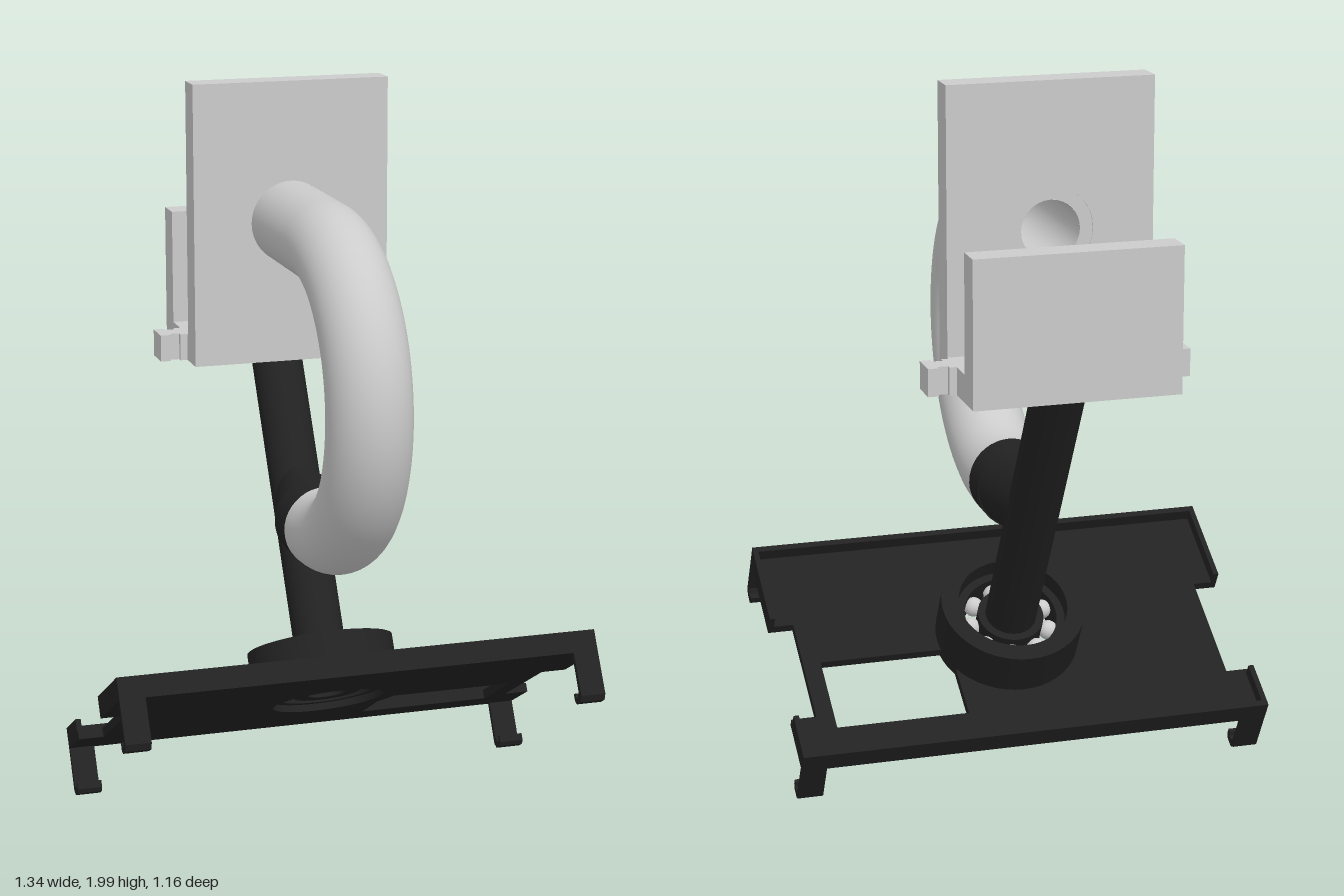
import * as THREE from 'three';
import { toCreasedNormals } from 'three/addons/utils/BufferGeometryUtils.js';

const grey = new THREE.MeshStandardMaterial({ color: 0xcccccc });
const greyThin = new THREE.MeshStandardMaterial({ color: 0xcccccc, side: THREE.DoubleSide });
const dark = new THREE.MeshStandardMaterial({ color: 0x222222 });

function add(parent, name, geometry, material, x = 0, y = 0, z = 0) {
  const mesh = new THREE.Mesh(geometry, material);
  mesh.name = name;
  mesh.position.set(x, y, z);
  parent.add(mesh);
  return mesh;
}

// box given by its limits on each axis
function block(parent, name, material, [x0, x1], [y0, y1], [z0, z1]) {
  return add(parent, name, new THREE.BoxGeometry(x1 - x0, y1 - y0, z1 - z0), material,
    (x0 + x1) / 2, (y0 + y1) / 2, (z0 + z1) / 2);
}

const shapeOf = (pts) => new THREE.Shape(pts.map(([x, y]) => new THREE.Vector2(x, y)));
const circle = (x, y, r) => new THREE.Path().absarc(x, y, r, 0, Math.PI * 2, true);
const extrude = (shape, depth) =>
  toCreasedNormals(new THREE.ExtrudeGeometry(shape, { depth, bevelEnabled: false, curveSegments: 32 }), 0.5);
const lathe = (pts) =>
  toCreasedNormals(new THREE.LatheGeometry(pts.map(([x, y]) => new THREE.Vector2(x, y)), 48), 0.5);
const ring = (r0, r1, y0, y1) => lathe([[r0, y1], [r0, y0], [r1, y0], [r1, y1], [r0, y1]]);

function createClamp() {
  const clamp = new THREE.Group();
  clamp.name = 'clamp';

  // tall front plate with the hole for the tube
  const plate = shapeOf([[-0.28, 1.21], [0.28, 1.21], [0.28, 2], [-0.28, 2]]);
  plate.holes.push(circle(0, 1.607, 0.115));
  add(clamp, 'frontPlate', extrude(plate, 0.08), grey, 0, 0, -0.33);

  // base with notched side ears and a screw hole
  const side = [[0.28, -0.33], [0.28, -0.34], [0.3, -0.34], [0.3, -0.355], [0.328, -0.355], [0.328, -0.34],
    [0.357, -0.34], [0.357, -0.423], [0.328, -0.423], [0.328, -0.409], [0.3, -0.409], [0.3, -0.423],
    [0.28, -0.423], [0.28, -0.5]];
  const base = shapeOf([...side, ...side.map(([x, z]) => [-x, z]).reverse()]);
  base.holes.push(circle(0, -0.42, 0.031));
  add(clamp, 'clampBase', extrude(base, 0.075).rotateX(Math.PI / 2), grey, 0, 1.285, 0);

  block(clamp, 'rearLip', grey, [-0.28, 0.28], [1.21, 1.605], [-0.58, -0.5]);
  return clamp;
}

function createArm() {
  const arm = new THREE.Group();
  arm.name = 'arm';

  // hollow U-shaped tube
  const path = new THREE.CurvePath();
  const v = (y, z) => new THREE.Vector3(0, y, z);
  const bend = new THREE.Curve();
  bend.getPoint = (t, target = new THREE.Vector3()) =>
    target.set(0, 1.208 + 0.399 * Math.cos(t * Math.PI), 0.063 + 0.399 * Math.sin(t * Math.PI));
  path.add(new THREE.LineCurve3(v(1.607, -0.328), v(1.607, 0.063)));
  path.add(bend);
  add(arm, 'bentTube', new THREE.TubeGeometry(path, 96, 0.115, 40), grey);
  add(arm, 'tubeBore', new THREE.TubeGeometry(path, 96, 0.08, 32), greyThin);
  add(arm, 'tubeEnd', new THREE.RingGeometry(0.08, 0.115, 40), greyThin, 0, 1.607, -0.328);

  // collar that joins the tube to the rod
  const collar = new THREE.CylinderGeometry(0.115, 0.115, 0.095, 40).rotateX(Math.PI / 2);
  add(arm, 'collar', collar, dark, 0, 0.809, 0.0175);
  const neck = new THREE.CylinderGeometry(0.113, 0.113, 0.16, 40).rotateX(Math.PI / 2);
  const p = neck.attributes.position;
  for (let i = 0; i < p.count; i++) if (p.getZ(i) < 0) p.setX(i, p.getX(i) * 0.6);
  neck.computeVertexNormals();
  add(arm, 'collarNeck', toCreasedNormals(neck, 0.6), dark, 0, 0.811, -0.11);
  return arm;
}

// tilted holder; local y is along the rod
function createHolder() {
  const holder = new THREE.Group();
  holder.name = 'holder';
  holder.position.set(0, 0.365, 0.07);
  holder.rotation.x = -Math.PI / 6;

  // rod, its top cut level with the underside of the clamp
  const rod = new THREE.LatheGeometry(
    [[0, 0.05], [0.052, 0.05], [0.052, -0.04], [0.072, -0.04], [0.072, 0.95], [0, 0.95]]
      .map(([x, y]) => new THREE.Vector2(x, y)), 48);
  const p = rod.attributes.position;
  for (let i = 0; i < p.count; i++)
    if (p.getY(i) > 0.5) p.setY(i, (1.21 - 0.365 - 0.5 * p.getZ(i)) / Math.cos(Math.PI / 6));
  add(holder, 'rod', toCreasedNormals(rod, 0.5), dark);

  // bearing in its cup
  add(holder, 'bearingCup', ring(0.155, 0.205, -0.06, 0.1), dark);
  add(holder, 'bearingOuterRace', ring(0.132, 0.156, -0.04, 0.05), dark);
  add(holder, 'bearingInnerRace', ring(0.07, 0.094, -0.04, 0.05), dark);
  for (let i = 0; i < 9; i++) {
    const a = (i / 9) * Math.PI * 2;
    add(holder, 'bearingBall', new THREE.SphereGeometry(0.028, 16, 12), grey,
      0.113 * Math.cos(a), 0.01, 0.113 * Math.sin(a));
  }

  // tray floor with corner tabs, window and bearing hole
  const edge = [[0.67, -0.38], [0.67, -0.22], [0.6, -0.22], [0.6, 0.11], [0.67, 0.11], [0.67, 0.38]];
  const floor = shapeOf([...edge, ...edge.map(([x, z]) => [-x, z]).reverse()]);
  floor.holes.push(circle(0, 0, 0.158));
  floor.holes.push(shapeOf([[0.175, -0.265], [0.175, -0.034], [0.55, -0.034], [0.55, -0.265]]));
  add(holder, 'trayFloor', extrude(floor, 0.025).rotateX(Math.PI / 2), dark, 0, -0.035, 0);

  for (const sz of [-1, 1]) {
    const span = (a, b) => (sz > 0 ? [a, b] : [-b, -a]);
    block(holder, 'trayRim', dark, [-0.67, 0.67], [-0.06, 0], span(0.362, 0.38));
    for (const sx of [-1, 1]) {
      const across = (a, b) => (sx > 0 ? [a, b] : [-b, -a]);
      block(holder, 'tabWall', dark, across(0.655, 0.67), [-0.06, 0], span(sz > 0 ? 0.11 : 0.235, 0.38));

      // hook with a small inturned, raised tip
      const hook = shapeOf([[0.366, -0.05], [0.366, -0.165], [0.355, -0.178], [0.343, -0.178], [0.338, -0.165],
        [0.328, -0.165], [0.328, -0.185], [0.338, -0.195], [0.368, -0.195], [0.382, -0.18], [0.38, -0.05]]);
      const g = extrude(hook, 0.07).rotateY(-Math.PI / 2); // profile x becomes z
      const mesh = add(holder, 'hook', g, dark, sx > 0 ? 0.67 : -0.6, 0, 0);
      if (sz < 0) {
        mesh.rotation.y = Math.PI;
        mesh.position.x = sx > 0 ? 0.6 : -0.67;
      }
    }
  }
  return holder;
}

export function createModel() {
  const model = new THREE.Group();
  model.name = 'phoneMount';
  model.add(createClamp(), createArm(), createHolder());
  return model;
}
